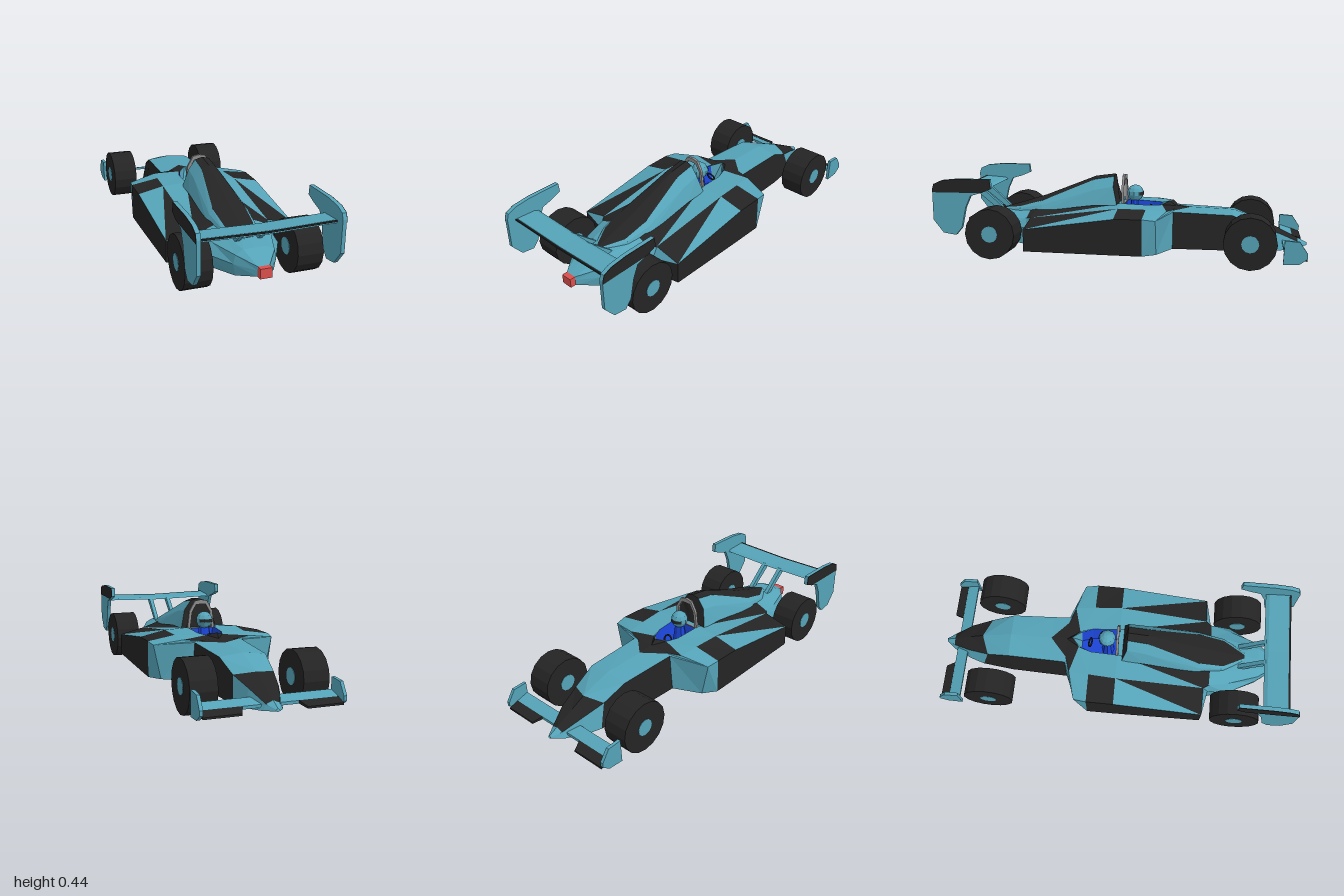
import * as THREE from 'three';

const COLORS = { t: 0x55a3b8, k: 0x242424, u: 0x1c45d8, g: 0x8c8c8c, r: 0xd9504c };
const WORDS = { t: 'Teal', k: 'Black', u: 'Blue', g: 'Grey', r: 'Red' };
const mats = {};
for (const k in COLORS) {
  mats[k] = new THREE.MeshStandardMaterial({ color: COLORS[k], flatShading: true, side: THREE.DoubleSide });
}

function add(parent, name, geo, color, x = 0, y = 0, z = 0) {
  const m = new THREE.Mesh(geo, mats[color]);
  m.name = name;
  m.position.set(x, y, z);
  parent.add(m);
  return m;
}

// Mirrored skin over half sections, each listed from top centre to bottom centre.
// rows: [z, [x, y, own z?], ...]; paint: one letter per strip
// ('a' / 'b' paint one triangle of the quad black, '-' leaves a hole).
function loft(parent, name, rows, paint) {
  const tris = {};
  const put = (color, p, q, r) => {
    const list = (tris[color] ??= []);
    for (const v of [p, q, r]) list.push(v[0], v[1], v[2]);
    for (const v of [p, r, q]) list.push(-v[0], v[1], v[2]);
  };
  const pts = rows.map(([z, ...ps]) => ps.map(([x, y, own]) => [x, y, own ?? z]));
  for (let i = 0; i < pts.length - 1; i++) {
    for (let j = 0; j < pts[i].length - 1; j++) {
      const c = paint[i][j];
      if (c === '-') continue;
      const p = pts[i][j], q = pts[i][j + 1], r = pts[i + 1][j + 1], s = pts[i + 1][j];
      put(c === 'a' ? 'k' : c === 'b' ? 't' : c, p, r, q);
      put(c === 'b' ? 'k' : c === 'a' ? 't' : c, p, s, r);
    }
  }
  const group = new THREE.Group();
  group.name = name;
  for (const c in tris) {
    const g = new THREE.BufferGeometry();
    g.setAttribute('position', new THREE.Float32BufferAttribute(tris[c], 3));
    g.computeVertexNormals();
    add(group, name + WORDS[c], g, c);
  }
  parent.add(group);
}

// Side outline of [z, y] points given thickness from x0 to x1
function plate(parent, name, color, outline, x0, x1) {
  const shape = new THREE.Shape(outline.map(([z, y]) => new THREE.Vector2(z, y)));
  const g = new THREE.ExtrudeGeometry(shape, { depth: x1 - x0, bevelEnabled: false });
  g.rotateY(-Math.PI / 2);
  return add(parent, name, g, color, x1);
}

export function createModel() {
  const car = new THREE.Group();
  car.name = 'racingCar';

  // Nose and front of the tub
  loft(car, 'nose', [
    [-1, [0, 0.08], [0.008, 0.075], [0.01, 0.068], [0, 0.065]],
    [-0.95, [0, 0.105], [0.035, 0.09], [0.05, 0.06], [0, 0.055]],
    [-0.85, [0, 0.155], [0.075, 0.14], [0.095, 0.05], [0, 0.045]],
    [-0.77, [0, 0.195], [0.105, 0.18, -0.73], [0.12, 0.05], [0, 0.05]],
    [-0.6, [0, 0.252], [0.122, 0.238], [0.14, 0.05], [0, 0.05]],
    [-0.37, [0, 0.258], [0.13, 0.246], [0.148, 0.05], [0, 0.05]],
    [-0.25, [0, 0.265], [0.135, 0.25], [0.152, 0.05], [0, 0.05]],
  ], ['ttt', 'ktt', 'ktt', 'tkt', 'tkt', 'bkt']);

  // Side pods, floor and tapering tail
  loft(car, 'body', [
    [-0.28, [0, 0.262], [0.05, 0.26], [0.1, 0.257], [0.135, 0.25], [0.15, 0.05], [0, 0.05]],
    [-0.21, [0, 0.29, -0.25], [0.045, 0.272], [0.19, 0.262, -0.25], [0.34, 0.237], [0.3, 0.05], [0, 0.05]],
    [-0.14, [0, 0.27], [0.068, 0.272], [0.2, 0.27], [0.35, 0.245], [0.35, 0.05], [0, 0.05]],
    [0.01, [0, 0.275], [0.075, 0.278], [0.21, 0.273], [0.35, 0.242], [0.35, 0.05], [0, 0.05]],
    [0.5, [0, 0.25], [0.1, 0.24], [0.2, 0.205], [0.345, 0.17], [0.345, 0.05], [0, 0.05]],
    [0.53, [0, 0.245], [0.1, 0.232], [0.18, 0.2], [0.2, 0.15], [0.2, 0.055], [0, 0.05]],
    [0.64, [0, 0.235], [0.09, 0.22], [0.155, 0.19], [0.195, 0.14], [0.17, 0.065], [0, 0.05]],
    [0.8, [0, 0.21], [0.06, 0.207], [0.1, 0.185], [0.11, 0.14], [0.1, 0.08], [0, 0.07]],
    [0.9, [0, 0.16], [0.015, 0.16], [0.03, 0.16], [0.03, 0.14], [0.03, 0.11], [0, 0.11]],
  ], ['kkttt', '-tttt', '-tkkt', 'tbbkt', 'tktkt', 'ttttt', 'ttttt', 'ttttt']);

  // Engine cover
  loft(car, 'engineCover', [
    [0.035, [0, 0.27], [0, 0.27], [0, 0.27], [0, 0.27]],
    [0.06, [0, 0.435], [0.04, 0.424], [0.078, 0.37], [0.105, 0.27, 0.035]],
    [0.17, [0, 0.42], [0.042, 0.405], [0.083, 0.35], [0.112, 0.268]],
    [0.46, [0, 0.305], [0.085, 0.285], [0.105, 0.262], [0.12, 0.23]],
    [0.6, [0, 0.26], [0.075, 0.245], [0.09, 0.235], [0.1, 0.21]],
    [0.72, [0, 0.226], [0.01, 0.224], [0.02, 0.222], [0.03, 0.21]],
  ], ['kkk', 'ktt', 'ktt', 'ktt', 'ktt']);

  // Cockpit tub
  loft(car, 'cockpit', [
    [-0.25, [0, 0.29], [0, 0.29], [0.045, 0.272, -0.21]],
    [-0.2, [0, 0.17], [0.03, 0.17], [0.045, 0.272]],
    [-0.14, [0, 0.17], [0.05, 0.17], [0.068, 0.272]],
    [0, [0, 0.17], [0.055, 0.17], [0.075, 0.278]],
    [0.01, [0, 0.275], [0.055, 0.275], [0.075, 0.278]],
  ], ['tt', 'uu', 'uu', 'uu']);

  // Driver
  const torso = new THREE.CylinderGeometry(0.03, 0.05, 0.12, 8).scale(1, 1, 0.7);
  add(car, 'driverTorso', torso, 'u', 0, 0.23, -0.05);
  add(car, 'helmet', new THREE.SphereGeometry(0.047, 10, 7), 't', 0, 0.328, -0.053);
  const visor = new THREE.CylinderGeometry(0.048, 0.048, 0.018, 8, 1, true, Math.PI * 0.7, Math.PI * 0.6);
  add(car, 'visor', visor, 'k', 0, 0.328, -0.053);
  const wheelRim = add(car, 'steeringWheel', new THREE.TorusGeometry(0.025, 0.005, 5, 10), 'k', 0, 0.24, -0.15);
  wheelRim.rotation.x = 0.4;

  // Roll hoop
  const hoop = new THREE.Shape([[-0.08, 0.27], [-0.068, 0.37], [-0.036, 0.427], [0, 0.434], [0.036, 0.427],
    [0.068, 0.37], [0.08, 0.27]].map(([x, y]) => new THREE.Vector2(x, y)));
  hoop.holes.push(new THREE.Path([[-0.064, 0.275], [-0.053, 0.365], [-0.028, 0.408], [0.028, 0.408],
    [0.053, 0.365], [0.064, 0.275]].map(([x, y]) => new THREE.Vector2(x, y))));
  add(car, 'rollHoop', new THREE.ExtrudeGeometry(hoop, { depth: 0.014, bevelEnabled: false }), 'g', 0, 0, 0);

  // Rear wing blade with a shallow V and a dark trailing lip
  for (const [name, color, outline] of [
    ['rearWing', 't', [[0.81, 0.34], [0.83, 0.35], [0.94, 0.357], [0.945, 0.342], [0.88, 0.333]]],
    ['rearWingLip', 'k', [[0.93, 0.352], [0.95, 0.359], [0.95, 0.35], [0.94, 0.345]]],
  ]) {
    for (const s of [-1, 1]) {
      const blade = plate(car, name, color, outline, s < 0 ? -0.345 : 0, s < 0 ? 0 : 0.345);
      const p = blade.geometry.attributes.position;
      for (let i = 0; i < p.count; i++) {
        const x = Math.abs(p.getX(i) + blade.position.x);
        p.setY(i, p.getY(i) - 0.008 * (1 - x / 0.345));
      }
    }
  }

  for (const s of [-1, 1]) {
    const span = (a, b) => (s > 0 ? [a, b] : [-b, -a]);

    // Rear wing end plates, dark on the upper outside
    const top = [[0.995, 0.375], [0.985, 0.405], [0.94, 0.425], [0.85, 0.435], [0.67, 0.435], [0.665, 0.385], [0.72, 0.362]];
    plate(car, 'rearEndPlate', 't', [...top, [0.78, 0.345], [0.81, 0.28], [0.835, 0.17], [0.87, 0.13], [0.94, 0.14],
      [0.995, 0.21]], ...span(0.338, 0.358));
    plate(car, 'rearEndPlatePanel', 'k', [...top, [0.995, 0.36]], ...span(0.358, 0.361));

    // Rear wing struts
    plate(car, 'wingStrut', 't', [[0.68, 0.215], [0.72, 0.215], [0.87, 0.335], [0.82, 0.34]], ...span(0.047, 0.07));

    // Front wing, flap and end plate
    plate(car, 'frontWing', 't', [[-0.93, 0.085], [-0.865, 0.105], [-0.865, 0.09], [-0.93, 0.07]], ...span(0, 0.345));
    const flap = plate(car, 'frontFlap', 'k', [[-0.98, 0.068], [-0.93, 0.086], [-0.93, 0.07], [-0.98, 0.058]], ...span(0.14, 0.345));
    const p = flap.geometry.attributes.position;
    for (let i = 0; i < p.count; i++) {
      if (Math.abs(p.getX(i) + flap.position.x) < 0.2 && p.getZ(i) < -0.95) p.setX(i, p.getX(i) + s * 0.02);
    }
    plate(car, 'frontEndPlate', 't', [[-0.865, 0.165], [-0.94, 0.16], [-0.98, 0.1], [-0.98, 0.075], [-0.94, 0.045],
      [-0.86, 0.04]], ...span(0.343, 0.36));

    // Wheels and hubs
    for (const [name, z] of [['frontWheel', -0.695], ['rearWheel', 0.685]]) {
      const wheel = new THREE.Group();
      wheel.name = name;
      const tyre = new THREE.CylinderGeometry(0.137, 0.137, 0.137, 16).rotateZ(Math.PI / 2);
      add(wheel, name + 'Tyre', tyre, 'k');
      const hub = new THREE.CylinderGeometry(0.045, 0.045, 0.141, 12).rotateZ(Math.PI / 2);
      add(wheel, name + 'Hub', hub, 't');
      wheel.position.set(s * 0.284, 0.137, z);
      car.add(wheel);
    }
  }

  // Tail lamp
  add(car, 'tailLamp', new THREE.BoxGeometry(0.06, 0.05, 0.05), 'r', 0, 0.135, 0.905);
  return car;
}
